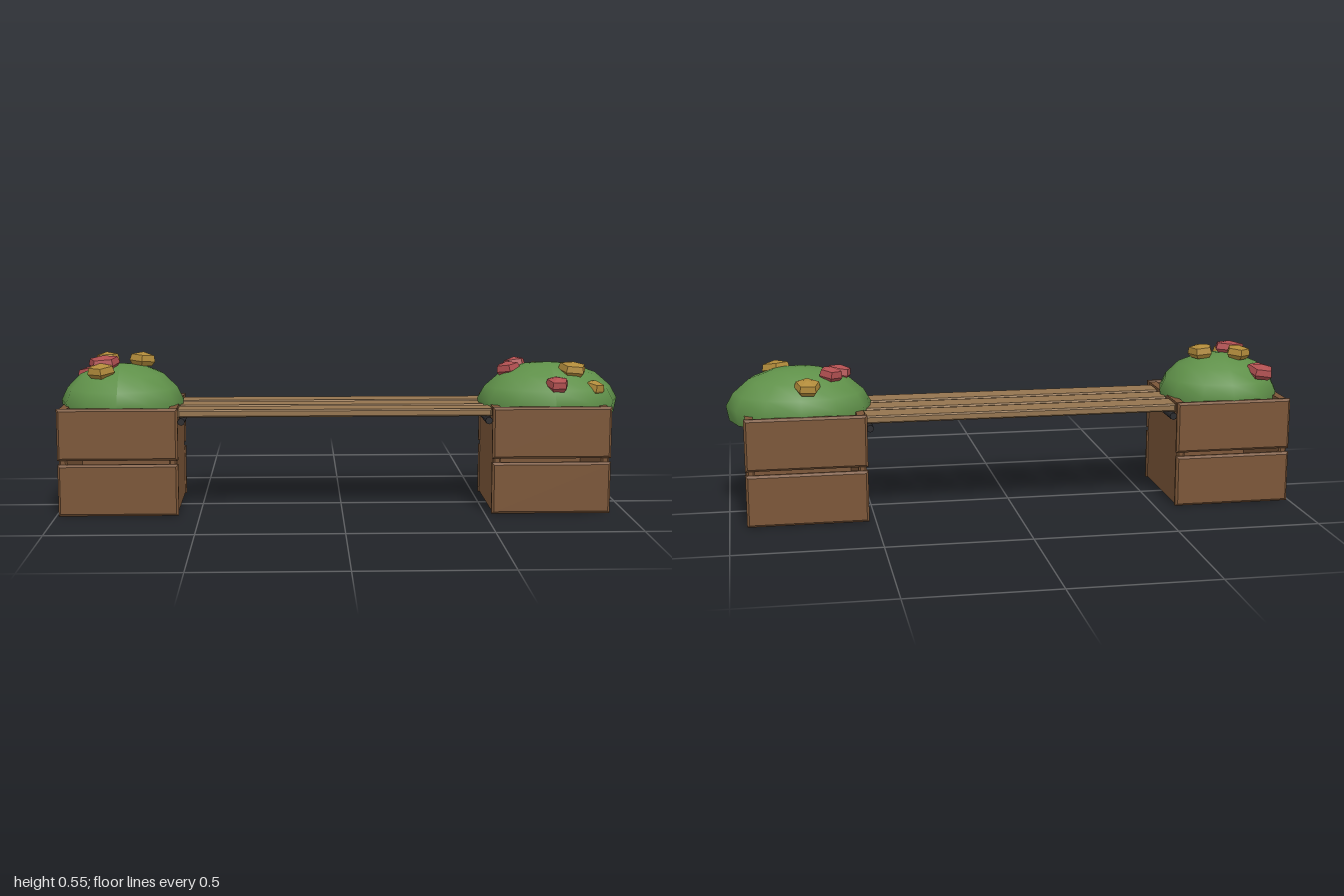
import * as THREE from 'three';

const mat = (color, extra = {}) => new THREE.MeshStandardMaterial({ color, ...extra });
const WOOD = mat(0x7b5638);
const SEAT = mat(0x94744f);
const SOIL = mat(0x4a3322);
const METAL = mat(0x2b2b2e);
const LEAF = mat(0x5f9049, { side: THREE.DoubleSide });
const RED = mat(0xb04f50, { flatShading: true });
const GOLD = mat(0xb08a3a, { flatShading: true });

function add(parent, name, geometry, material, x = 0, y = 0, z = 0) {
  const mesh = new THREE.Mesh(geometry, material);
  mesh.name = name;
  mesh.position.set(x, y, z);
  parent.add(mesh);
  return mesh;
}

// Box with chamfered edges, centred on the origin
function board(w, h, d, b = 0.006) {
  const x = w / 2 - b, y = h / 2 - b;
  const shape = new THREE.Shape([[-x, -y], [x, -y], [x, y], [-x, y]].map(p => new THREE.Vector2(...p)));
  const geo = new THREE.ExtrudeGeometry(shape, {
    depth: d - 2 * b, bevelThickness: b, bevelSize: b, bevelSegments: 1,
  });
  return geo.translate(0, 0, b - d / 2);
}

const lathe = (points, sides) =>
  new THREE.LatheGeometry(points.map(p => new THREE.Vector2(...p)), sides);

// Open crate: slatted front and back, full-height sides
function planter(name, x) {
  const g = new THREE.Group();
  g.name = name;
  g.position.x = x;
  for (const s of [-1, 1]) {
    for (const y of [0.092, 0.288])
      add(g, 'slat', board(0.418, 0.182, 0.026, 0.008), WOOD, 0, y, s * 0.198);
    add(g, 'sidePanel', board(0.028, 0.37, 0.4), WOOD, s * 0.19, 0.189, 0);
  }
  add(g, 'soil', new THREE.BoxGeometry(0.37, 0.02, 0.38), SOIL, 0, 0.325, 0);
  return g;
}

// Low dome of leaves, stretched along x
function bush(name, x, rx, rz) {
  const geo = lathe([[0.96, 0.333], [1, 0.385], [0.9, 0.43], [0.68, 0.478], [0.36, 0.507], [0, 0.515]], 12);
  geo.scale(rx, 1, rz);
  geo.computeVertexNormals();
  const mesh = new THREE.Mesh(geo, LEAF);
  mesh.name = name;
  mesh.position.x = x;
  return mesh;
}

// Five-sided blossom, leaning away from the middle of its bush
function flower(parent, bushX, [x, y, z, r, material], i) {
  const geo = lathe([[0, -0.024], [0.75, -0.024], [1, -0.008], [0.88, 0.014], [0, 0.024]], 5);
  geo.scale(r, 1, r);
  const mesh = add(parent, 'flower', geo, material, x, y, z);
  mesh.rotation.order = 'ZXY';
  mesh.rotation.set(z * 1.4, i * 1.9, (bushX - x) * 1.2);
}

export function createModel() {
  const model = new THREE.Group();
  model.name = 'planterBench';

  model.add(planter('rightPlanter', -0.782), planter('leftPlanter', 0.732));
  model.add(bush('rightBush', -0.782, 0.218, 0.205), bush('leftBush', 0.745, 0.253, 0.203));

  // Seat planks between the planters
  for (const z of [-0.126, -0.005, 0.116])
    add(model, 'seatPlank', board(1.1, 0.027, 0.1, 0.005), SEAT, -0.025, 0.355, z);

  // Bars carrying the plank ends
  for (const x of [-0.562, 0.513]) {
    const bar = new THREE.CylinderGeometry(0.013, 0.013, 0.38, 8).rotateX(Math.PI / 2);
    add(model, 'supportBar', bar, METAL, x, 0.329, -0.005);
  }

  // Flowers: x, y, z, radius, colour
  const flowers = new THREE.Group();
  flowers.name = 'flowers';
  [
    [-0.905, 0.468, -0.12, 0.053, RED], [-0.84, 0.527, -0.05, 0.045, GOLD],
    [-0.71, 0.53, -0.02, 0.048, GOLD], [-0.84, 0.525, 0.055, 0.058, RED],
    [-0.845, 0.502, 0.1, 0.05, GOLD],
  ].forEach((f, i) => flower(flowers, -0.782, f, i));
  [
    [0.72, 0.475, -0.152, 0.047, GOLD], [0.635, 0.502, -0.07, 0.042, RED],
    [0.6, 0.494, 0.005, 0.045, RED], [0.82, 0.501, 0.09, 0.052, GOLD],
    [0.895, 0.437, 0.11, 0.036, GOLD], [0.755, 0.455, 0.16, 0.042, RED],
  ].forEach((f, i) => flower(flowers, 0.745, f, i));
  model.add(flowers);

  return model;
}
